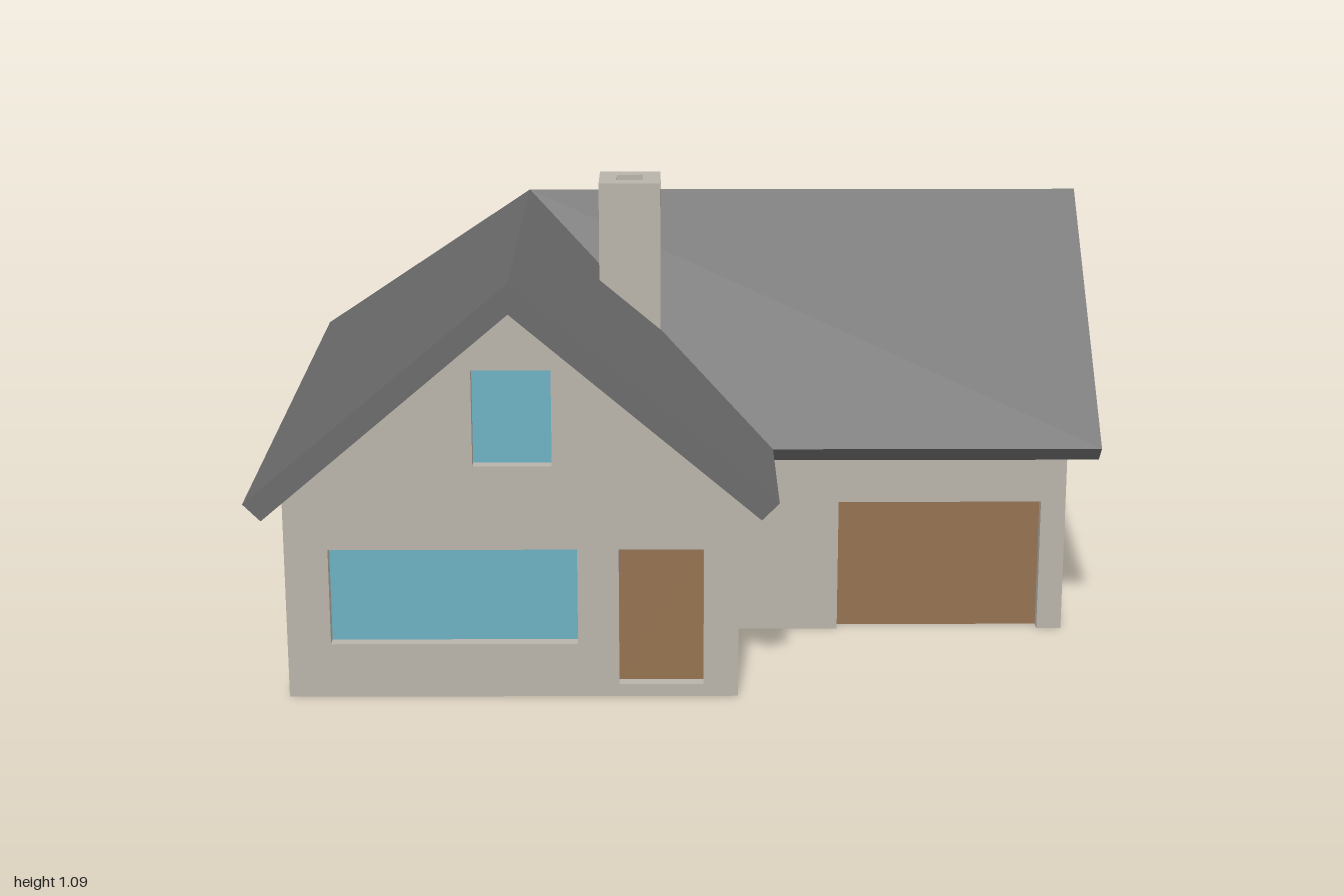
import * as THREE from 'three';

const mat = (name, color, side = THREE.FrontSide) => {
  const m = new THREE.MeshStandardMaterial({ color, side });
  m.name = name;
  return m;
};

// Flat-shaded geometry from a list of four-cornered faces
function quads(list) {
  const pos = [];
  for (const [a, b, c, d] of list) pos.push(...a, ...b, ...c, ...a, ...c, ...d);
  const g = new THREE.BufferGeometry();
  g.setAttribute('position', new THREE.Float32BufferAttribute(pos, 3));
  g.computeVertexNormals();
  return g;
}

export function createModel() {
  const house = new THREE.Group();
  house.name = 'house';
  const wallMat = mat('plaster', 0xb8b3a9, THREE.DoubleSide);
  const glassMat = mat('glass', 0x6cb0c1, THREE.DoubleSide);
  const doorMat = mat('wood', 0x94714f, THREE.DoubleSide);
  const roofMat = mat('slate', 0x6a6a6a);
  const flueMat = mat('soot', 0x3c383a);
  const DEPTH = 0.03;
  const EAVE = 0.49;
  const PEAK = 0.935;

  const add = (parent, name, geometry, material) => {
    const m = new THREE.Mesh(geometry, material);
    m.name = name;
    parent.add(m);
    return m;
  };

  // Thin wall facing local +z from u0 to u1, with an optional gable peak.
  // Openings: [name, left, right, bottom, top, material], ordered left to right.
  function wall(name, [u0, u1], peak, turn, [px, pz], openings) {
    const g = new THREE.Group();
    g.name = name;
    g.rotation.y = turn;
    g.position.set(px, 0, pz);
    house.add(g);

    const outline = [[u0, 0]];
    const holes = [];
    for (const [part, a, b, y0, y1, material] of openings) {
      const corners = [[a, y0], [a, y1], [b, y1], [b, y0]];
      if (y0 === 0) outline.push(...corners);
      else holes.push(corners);

      // Recess sides and the pane at its back
      const sides = corners.map((p, i) => [p, corners[(i + 1) % 4]]);
      if (y0 === 0) sides.pop();
      add(g, part + 'Reveal', quads(sides.map(([p, q]) =>
        [[...p, 0], [...q, 0], [...q, -DEPTH], [...p, -DEPTH]])), wallMat);
      add(g, part, new THREE.PlaneGeometry(b - a, y1 - y0), material)
        .position.set((a + b) / 2, (y0 + y1) / 2, -DEPTH);
    }
    outline.push([u1, 0], [u1, EAVE]);
    if (peak !== null) outline.push([peak, PEAK]);
    outline.push([u0, EAVE]);

    const vec = (pts) => pts.map(([x, y]) => new THREE.Vector2(x, y));
    const shape = new THREE.Shape(vec(outline));
    for (const h of holes) shape.holes.push(new THREE.Path(vec(h)));
    add(g, name + 'Surface', new THREE.ShapeGeometry(shape), wallMat);
  }

  // Walls around the L-shaped plan
  const q = Math.PI / 2;
  wall('frontGableWall', [-0.92, 0.12], -0.395, 0, [0, 0.75], [
    ['livingRoomWindow', -0.82, -0.25, 0.13, 0.36, glassMat],
    ['frontAtticWindow', -0.485, -0.305, 0.56, 0.785, glassMat],
    ['frontDoor', -0.155, 0.04, 0.03, 0.36, doorMat],
  ]);
  wall('garageWall', [0.12, 0.93], null, 0, [0, 0.32], [
    ['garageDoor', 0.375, 0.87, 0, 0.33, doorMat],
  ]);
  wall('porchWall', [-0.75, -0.32], null, q, [0.12, 0], [
    ['porchWindow', -0.69, -0.505, 0.13, 0.36, glassMat],
  ]);
  wall('sideGableWall', [-0.32, 0.73], 0.205, q, [0.93, 0], [
    ['sideAtticWindow', 0.095, 0.275, 0.56, 0.785, glassMat],
  ]);
  wall('backWall', [-0.93, 0.92], null, Math.PI, [0, -0.73], [
    ['backWindow', -0.515, -0.165, 0.13, 0.36, glassMat],
    ['patioDoor', 0.205, 0.41, 0, 0.36, glassMat],
    ['patioWindow', 0.45, 0.83, 0, 0.36, glassMat],
  ]);
  wall('longSideWall', [-0.73, 0.75], null, -q, [-0.92, 0], [
    ['longSideWindow', -0.51, -0.18, 0.13, 0.36, glassMat],
  ]);

  // Roof slab: each corner is an upper point paired with a lower one
  const corner = (x, y, z, dx, dy, dz) => [[x, y, z], [x + dx, y - dy, z + dz]];
  const t = 0.04;
  const A = corner(-1, 0.49, 0.81, t, t, 0);
  const B = corner(-1, 0.49, -0.815, t, t, t);
  const D = corner(1, 0.49, -0.815, 0, t, t);
  const E = corner(1, 0.49, 0.4, 0, t, -t);
  const F = corner(0.21, 0.49, 0.4, -t, t, -t);
  const G = corner(0.21, 0.49, 0.81, -t, t, 0);
  const C = corner(-0.395, 1, -0.205, 0, 0.07, 0);
  const R1 = corner(-0.395, 1, 0.81, 0, 0.07, 0);
  const R2 = corner(1, 1, -0.205, 0, 0.07, 0);
  const slopes = [[A, R1, C, B], [B, C, R2, D], [E, R2, C, F], [G, F, C, R1]];
  const rim = [A, R1, G, F, E, R2, D, B];
  add(house, 'roof', quads([
    ...slopes.map((s) => s.map((p) => p[0])),
    ...slopes.map((s) => s.map((p) => p[1]).reverse()),
    ...rim.map((p, i) => {
      const n = rim[(i + 1) % rim.length];
      return [n[0], p[0], p[1], n[1]];
    }),
  ]), roofMat);

  // Chimney with an open flue
  const square = (Type, r) => new Type([[-r, -r], [r, -r], [r, r], [-r, r]]
    .map(([x, y]) => new THREE.Vector2(x, y)));
  const stack = square(THREE.Shape, 0.075);
  stack.holes.push(square(THREE.Path, 0.032));
  const chimney = new THREE.Group();
  chimney.name = 'chimney';
  chimney.position.set(-0.135, 0.68, 0.06);
  house.add(chimney);
  add(chimney, 'chimneyStack',
    new THREE.ExtrudeGeometry(stack, { depth: 0.405, bevelEnabled: false }).rotateX(-q), wallMat);
  add(chimney, 'flue', new THREE.PlaneGeometry(0.064, 0.064).rotateX(-q), flueMat)
    .position.y = 0.36;

  return house;
}
